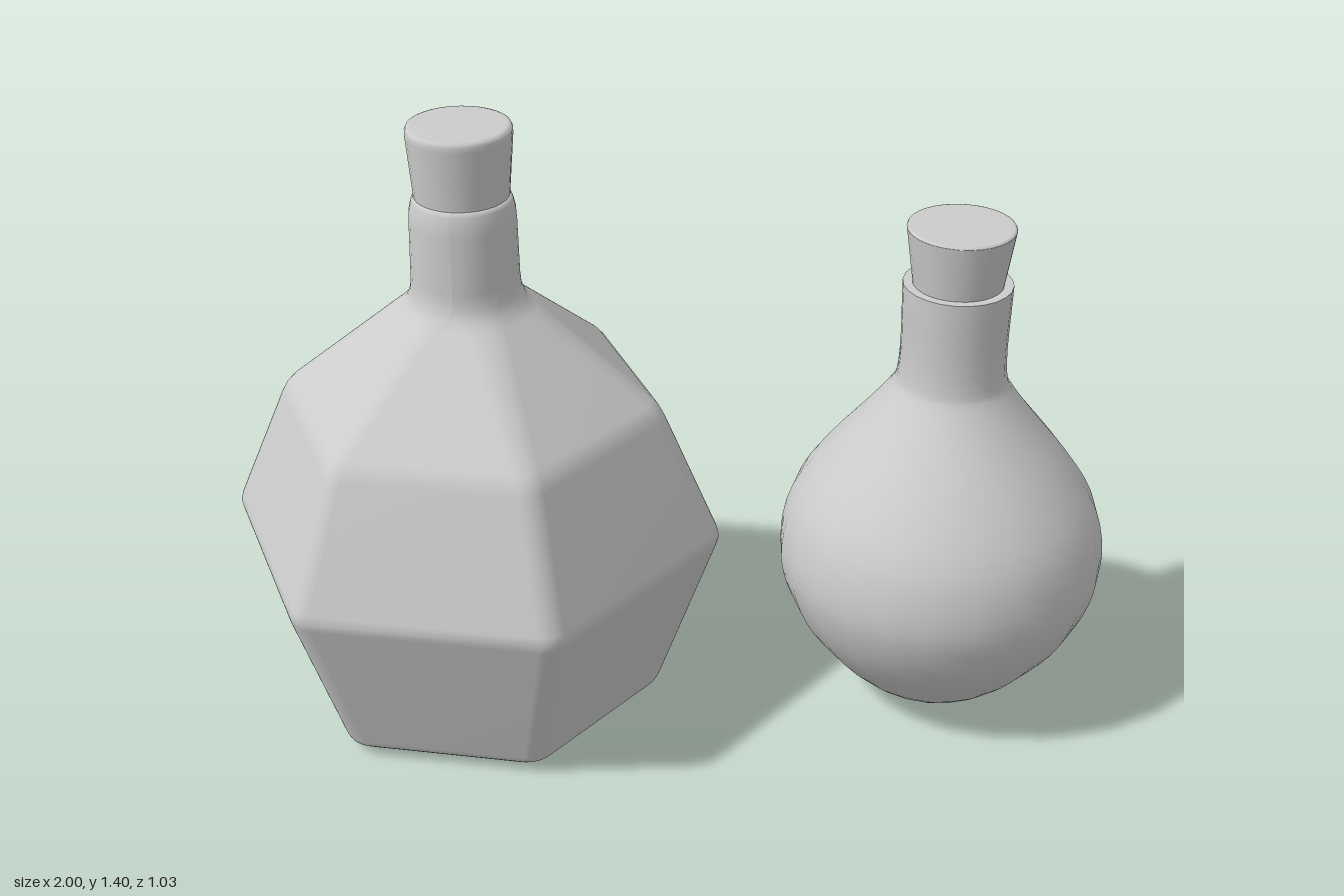
import * as THREE from 'three';

const material = new THREE.MeshStandardMaterial({ color: 0xcccccc, side: THREE.DoubleSide });
const COS30 = Math.cos(Math.PI / 6);
const ARC = 6; // steps in each rounded corner

// Hexagon ring with corners on +-x; equals a circle when round = corner * COS30
function hexRing(corner, y, round) {
  const c = Math.min(round, corner * COS30);
  const centre = corner - c / COS30;
  const ring = [];
  for (let k = 0; k < 6; k++) {
    const a = (k * Math.PI) / 3;
    for (let j = 0; j <= ARC; j++) {
      const b = a + (j / ARC - 0.5) * (Math.PI / 3) * 0.999;
      ring.push([centre * Math.cos(a) + c * Math.cos(b), y, -centre * Math.sin(a) - c * Math.sin(b)]);
    }
  }
  return ring;
}

// Skin a stack of [corner, y, round] rings
function loft(profile) {
  const rings = profile.map(([r, y, c]) => hexRing(r, y, c));
  const n = rings[0].length;
  const index = [];
  for (let i = 0; i < rings.length - 1; i++) {
    for (let j = 0; j < n; j++) {
      const a = i * n + j, b = i * n + ((j + 1) % n);
      index.push(a, b, b + n, a, b + n, a + n);
    }
  }
  const g = new THREE.BufferGeometry();
  g.setAttribute('position', new THREE.Float32BufferAttribute(rings.flat(2), 3));
  g.setIndex(index);
  g.computeVertexNormals();
  return g;
}

const lathe = (points, segments) =>
  new THREE.LatheGeometry(points.map(([r, y]) => new THREE.Vector2(r, y)), segments);

function add(parent, name, geometry) {
  const mesh = new THREE.Mesh(geometry, material);
  mesh.name = name;
  parent.add(mesh);
  return mesh;
}

function facetedBottle() {
  const g = new THREE.Group();
  g.name = 'facetedBottle';
  // Six-sided body with softened edges, blending into a round neck
  add(g, 'facetedBody', loft([
    [0.001, 0.018, 0.001], [0.395, 0.018, 0.06], [0.415, 0.022, 0.06], [0.428, 0.032, 0.06], [0.437, 0.048, 0.06],
    [0.569, 0.42, 0.06], [0.574, 0.44, 0.06], [0.569, 0.46, 0.06],
    [0.45, 0.735, 0.06], [0.438, 0.757, 0.06], [0.42, 0.777, 0.06],
    [0.17, 0.985, 0.09], [0.15, 1.005, 0.11], [0.141, 1.03, 0.2], [0.138, 1.06, 0.2],
    [0.135, 1.19, 0.2], [0.133, 1.215, 0.2], [0.127, 1.238, 0.2], [0.122, 1.248, 0.2], [0.1, 1.25, 0.2],
  ]));
  // Flared stopper with a softened top edge
  add(g, 'facetedStopper', lathe([
    [0.1, 1.22], [0.104, 1.25], [0.115, 1.385], [0.115, 1.397], [0.112, 1.404], [0.104, 1.407], [0, 1.407],
  ], 32));
  g.position.set(-0.435, 0, 0.01);
  return g;
}

function roundFlask() {
  const g = new THREE.Group();
  g.name = 'roundFlask';
  // Pear-shaped body drawn as a smooth curve
  const curve = new THREE.SplineCurve([
    [0.001, 0.003], [0.1, 0.006], [0.16, 0.035], [0.235, 0.1], [0.315, 0.2], [0.36, 0.3], [0.371, 0.39],
    [0.347, 0.5], [0.278, 0.61], [0.19, 0.72], [0.135, 0.795], [0.122, 0.83], [0.118, 0.9], [0.12, 1.0], [0.121, 1.047],
  ].map(([r, y]) => new THREE.Vector2(r, y)));
  add(g, 'flaskBody', new THREE.LatheGeometry(curve.getPoints(42), 24));
  // Flat lip and inside of the neck
  add(g, 'flaskLip', lathe([[0.121, 1.047], [0.1, 1.047]], 24));
  add(g, 'flaskNeckInside', lathe([[0.1, 1.047], [0.1, 0.97]], 24));
  // Flared stopper
  const stopper = add(g, 'flaskStopper', new THREE.CylinderGeometry(0.119, 0.094, 0.17, 32));
  stopper.position.y = 1.092;
  add(g, 'flaskStopperRim', lathe([[0.119, 1.176], [0.117, 1.181], [0.112, 1.182], [0, 1.182]], 32));
  g.position.set(0.627, 0, -0.147);
  return g;
}

export function createModel() {
  const model = new THREE.Group();
  model.name = 'bottlePair';
  model.add(facetedBottle(), roundFlask());
  return model;
}
